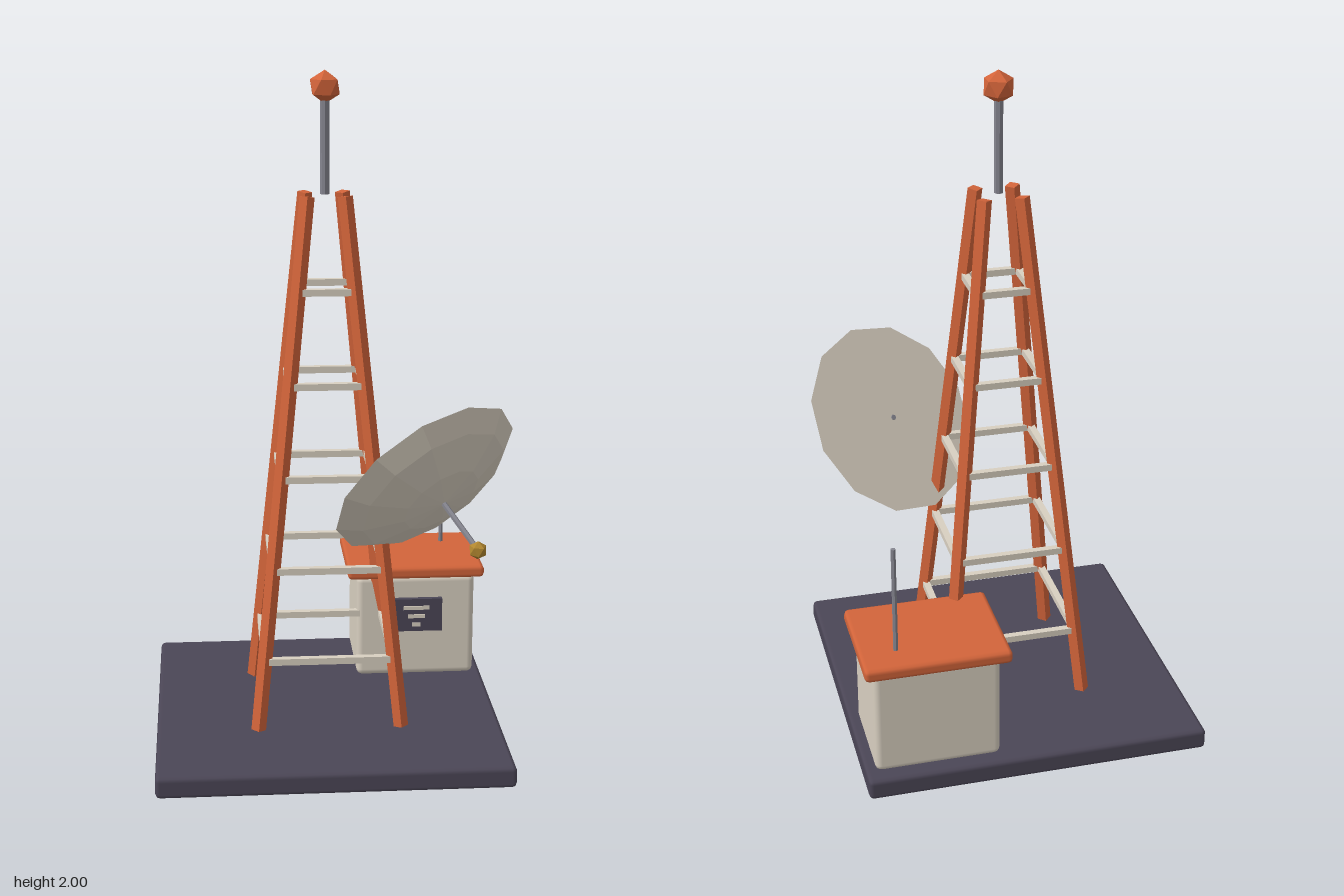
import * as THREE from 'three';
import { RoundedBoxGeometry } from 'three/addons/geometries/RoundedBoxGeometry.js';

const mat = (name, color, side = THREE.FrontSide) => {
  const m = new THREE.MeshStandardMaterial({ color, side });
  m.name = name;
  return m;
};

// Faceted copy of a geometry
function flat(geometry) {
  const g = geometry.index ? geometry.toNonIndexed() : geometry;
  g.computeVertexNormals();
  return g;
}

function add(parent, name, geometry, material, x = 0, y = 0, z = 0) {
  const mesh = new THREE.Mesh(geometry, material);
  mesh.name = name;
  mesh.position.set(x, y, z);
  parent.add(mesh);
  return mesh;
}

// Straight bar between two points
function bar(parent, name, a, b, radius, sides, material) {
  const dir = b.clone().sub(a);
  const g = flat(new THREE.CylinderGeometry(radius, radius, dir.length(), sides));
  const mesh = add(parent, name, g, material);
  mesh.position.copy(a).add(b).multiplyScalar(0.5);
  mesh.quaternion.setFromUnitVectors(new THREE.Vector3(0, 1, 0), dir.normalize());
  return mesh;
}

const V = (x, y, z) => new THREE.Vector3(x, y, z);

export function createModel() {
  const model = new THREE.Group();
  model.name = 'radioTower';
  const orange = mat('orange paint', 0xd2643a);
  const cream = mat('cream paint', 0xd8cfc0);
  const slate = mat('dark slate', 0x4b4656);
  const steel = mat('grey steel', 0x85858f);
  const brass = mat('brass', 0xb0862f);

  // Base slab
  add(model, 'base', new RoundedBoxGeometry(1.036, 0.065, 1.036, 1, 0.014), slate, -0.01, 0.0325, 0);

  // Tower: four tapering legs
  const tower = new THREE.Group();
  tower.name = 'tower';
  tower.position.x = -0.01;
  model.add(tower);
  const y0 = 0.068, y1 = 1.645, h0 = 0.214, h1 = 0.055;
  for (const sx of [-1, 1]) for (const sz of [-1, 1]) {
    bar(tower, 'leg', V(sx * h0, y0, sz * h0), V(sx * h1, y1, sz * h1), 0.022, 4, orange);
  }

  // Rings of horizontal struts
  for (let i = 0; i < 5; i++) {
    const y = 0.277 + i * 0.2735;
    const h = h0 + (h1 - h0) * (y - y0) / (y1 - y0);
    for (const s of [-1, 1]) {
      add(tower, 'strut', new THREE.BoxGeometry(2 * h, 0.02, 0.021), cream, 0, y, s * h);
      add(tower, 'strut', new THREE.BoxGeometry(0.021, 0.02, 2 * h), cream, s * h, y, 0);
    }
  }

  // Mast and beacon
  bar(tower, 'mast', V(0, 1.645, 0), V(0, 1.93, 0), 0.0135, 8, steel);
  const ball = new THREE.IcosahedronGeometry(0.048, 0);
  ball.rotateZ(Math.atan(2 / (1 + Math.sqrt(5))));
  add(tower, 'beacon', flat(ball), orange, 0, 1.952, 0);

  // Equipment hut
  const hut = new THREE.Group();
  hut.name = 'hut';
  model.add(hut);
  add(hut, 'walls', new RoundedBoxGeometry(0.376, 0.335, 0.297, 2, 0.02), cream, 0.292, 0.2325, -0.328);
  add(hut, 'roof', new RoundedBoxGeometry(0.434, 0.04, 0.353, 1, 0.014), orange, 0.291, 0.417, -0.331);
  bar(hut, 'whipAntenna', V(0.4, 0.43, -0.412), V(0.4, 0.77, -0.412), 0.0075, 6, steel);

  // Panel with three bars on the hut's front
  add(hut, 'panel', new THREE.BoxGeometry(0.165, 0.108, 0.02), slate, 0.293, 0.274, -0.173);
  [0.083, 0.055, 0.027].forEach((w, i) =>
    add(hut, 'panelBar', new THREE.BoxGeometry(w, 0.012, 0.006), cream, 0.293, 0.299 - i * 0.028, -0.162));

  // Dish: shallow faceted dome with a flat back, aimed forward and down
  const dish = new THREE.Group();
  dish.name = 'dish';
  dish.position.set(0.264, 0.853, 0.246);
  dish.rotation.set(2.185, 0.607, 0, 'YXZ');
  model.add(dish);
  const profile = [[0, 0], [0.302, 0], [0.24, 0.045], [0.125, 0.085], [0, 0.1]]
    .map(([r, y]) => new THREE.Vector2(r, y));
  add(dish, 'reflector', flat(new THREE.LatheGeometry(profile, 12)), cream);
  bar(dish, 'feedArm', V(0, -0.004, 0), V(0, 0.274, 0), 0.0085, 6, steel);
  add(dish, 'feedHorn', flat(new THREE.IcosahedronGeometry(0.027, 0)), brass, 0, 0.274, 0);

  return model;
}
